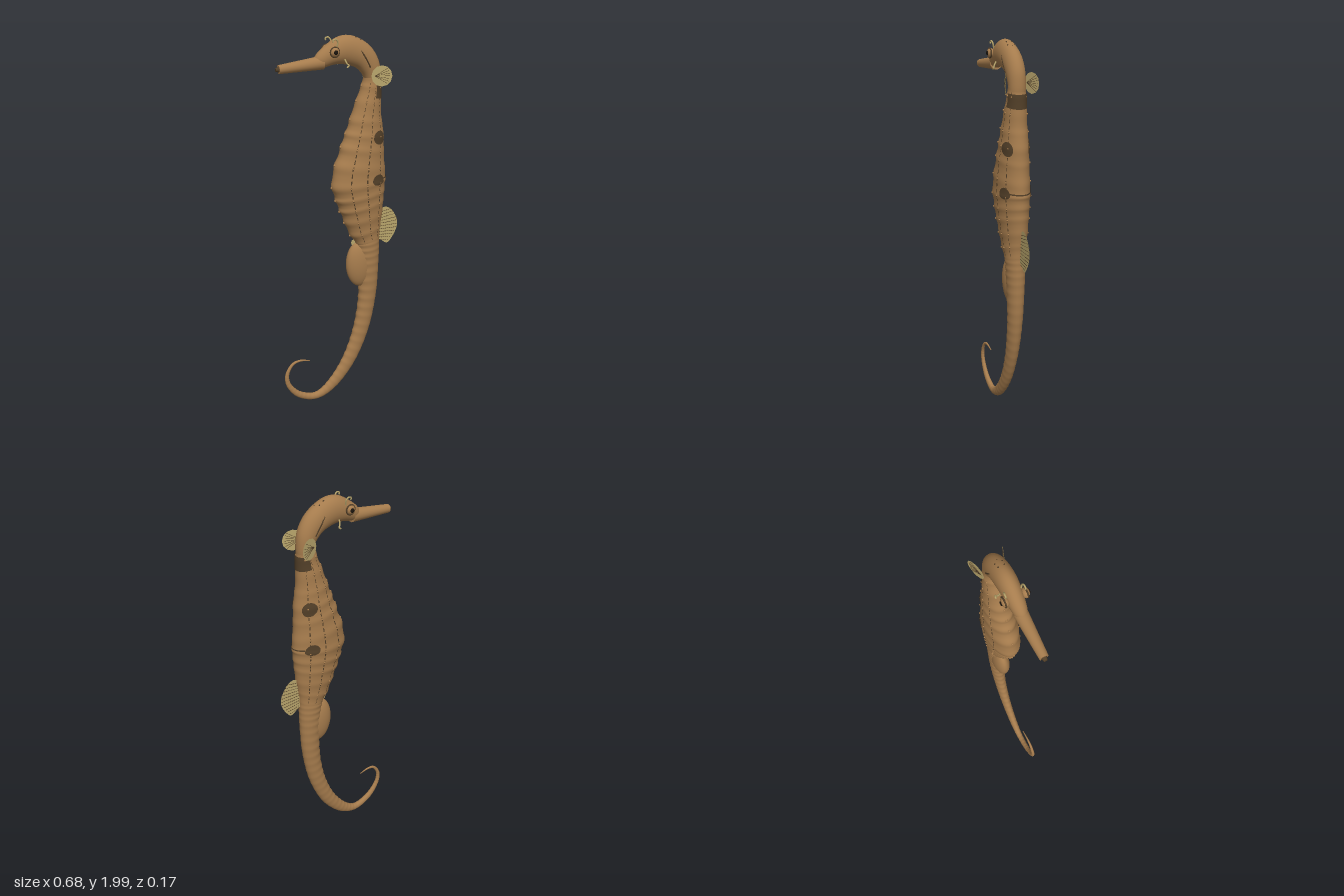
import * as THREE from 'three';
import { mergeGeometries } from 'three/addons/utils/BufferGeometryUtils.js';

const mat = (name, color, side = THREE.FrontSide) => {
  const m = new THREE.MeshStandardMaterial({ color, side });
  m.name = name;
  return m;
};

// Grid surface from a rule fn(u, v); v closes on itself when wrap is set
function surface(fn, nu, nv, wrap = false) {
  const pos = [], idx = [], cols = wrap ? nv : nv + 1;
  for (let i = 0; i <= nu; i++)
    for (let j = 0; j < cols; j++) pos.push(...fn(i / nu, j / nv));
  for (let i = 0; i < nu; i++)
    for (let j = 0; j < nv; j++) {
      const k = (j + 1) % cols, a = i * cols, b = a + cols;
      idx.push(a + j, a + k, b + j, a + k, b + k, b + j);
    }
  const g = new THREE.BufferGeometry();
  g.setAttribute('position', new THREE.Float32BufferAttribute(pos, 3));
  g.setIndex(idx);
  g.computeVertexNormals();
  return g;
}

// Oval body section swept through [x, y, depth radius, width radius];
// returns point(t, angle, lift), angle 0 being the back
function sweep(rows, rings = 0, amp = 0) {
  const path = new THREE.CatmullRomCurve3(rows.map(r => new THREE.Vector3(r[0], r[1], 0)), false, 'catmullrom');
  const size = new THREE.CatmullRomCurve3(rows.map(r => new THREE.Vector3(r[2], r[3], 0)), false, 'catmullrom');
  const point = (t, a, lift = 0) => {
    t = Math.min(1, Math.max(0, t));
    const c = path.getPoint(t), T = path.getTangent(t), s = size.getPoint(t);
    const wave = rings ? Math.pow(Math.abs(Math.cos(Math.PI * rings * t)), 3) - 0.4 : 0;
    const k = 1 + amp * wave * (0.65 - 0.35 * Math.cos(a));
    const n = (s.x * k + lift) * Math.cos(a);
    return [c.x - T.y * n, c.y + T.x * n, (s.y * k + lift) * Math.sin(a)];
  };
  const tAtY = y => {
    let lo = 0, hi = 1;
    for (let i = 0; i < 30; i++) {
      const m = (lo + hi) / 2;
      if (path.getPoint(m).y > y) lo = m; else hi = m;
    }
    return lo;
  };
  return { point, tAtY };
}

export function createModel() {
  const model = new THREE.Group();
  const skin = mat('skin brown', 0xa67c4d);
  const dark = mat('dark marking', 0x523f28, THREE.DoubleSide);
  const fin = mat('pale fin', 0xb9a66c, THREE.DoubleSide);
  const black = mat('pupil black', 0x1c150e);
  const add = (name, geo, m) => {
    const mesh = new THREE.Mesh(geo, m);
    mesh.name = name;
    model.add(mesh);
    return mesh;
  };
  const ball = (r, x, y, z) => new THREE.SphereGeometry(r, 10, 8).translate(x, y, z);
  const TAU = Math.PI * 2, deg = Math.PI / 180;

  // Head, neck, trunk and tail
  const head = sweep([
    [-0.125, 1.868, 0.02, 0.02], [-0.11, 1.884, 0.038, 0.031], [-0.06, 1.91, 0.052, 0.04],
    [0, 1.928, 0.068, 0.046], [0.05, 1.923, 0.07, 0.048], [0.11, 1.893, 0.064, 0.048],
    [0.15, 1.845, 0.055, 0.046], [0.168, 1.79, 0.044, 0.043], [0.168, 1.74, 0.042, 0.042]]);
  const trunk = sweep([
    [0.168, 1.79, 0.042, 0.042], [0.16, 1.72, 0.055, 0.048], [0.14, 1.6, 0.08, 0.059],
    [0.13, 1.5, 0.105, 0.068], [0.115, 1.4, 0.125, 0.075], [0.1, 1.27, 0.15, 0.081],
    [0.108, 1.18, 0.138, 0.077], [0.12, 1.1, 0.12, 0.07], [0.135, 1.0, 0.095, 0.059],
    [0.155, 0.92, 0.067, 0.05]], 12, 0.06);
  const tail = sweep([
    [0.152, 0.94, 0.068, 0.05], [0.16, 0.8, 0.06, 0.046], [0.157, 0.6, 0.051, 0.039],
    [0.122, 0.4, 0.046, 0.032], [0.05, 0.22, 0.04, 0.026], [-0.05, 0.088, 0.032, 0.021],
    [-0.15, 0.031, 0.021, 0.017], [-0.25, 0.06, 0.018, 0.014], [-0.312, 0.13, 0.014, 0.011],
    [-0.325, 0.2, 0.011, 0.009], [-0.295, 0.258, 0.008, 0.007], [-0.25, 0.274, 0.006, 0.005],
    [-0.19, 0.262, 0.002, 0.002]], 46, 0.06);
  const skinOf = (s, n, sides) => surface((u, v) => s.point(u, v * TAU), n, sides, true);
  add('head', skinOf(head, 40, 32), skin);
  add('trunk', skinOf(trunk, 144, 36), skin);
  add('tail', skinOf(tail, 276, 20), skin);

  // Snout and mouth
  const snout = add('snout', new THREE.CylinderGeometry(0.021, 0.033, 0.226, 24), skin);
  snout.position.set(-0.2125, 1.867, 0);
  snout.rotation.z = Math.PI / 2 + 0.075;
  const mouth = add('mouth', new THREE.CylinderGeometry(0.008, 0.014, 0.016, 16), dark);
  mouth.position.set(-0.332, 1.858, 0);
  mouth.rotation.z = Math.PI / 2 + 0.075;

  // Brood pouch
  add('pouch', new THREE.SphereGeometry(1, 28, 20).scale(0.078, 0.13, 0.043)
    .rotateZ(0.06).translate(0.108, 0.785, 0), skin);

  // Rows of dashes and small knobs along the trunk ridges
  const dashes = [], knobs = [], spots = [];
  for (const side of [-1, 1]) {
    for (const ridge of [53, 86, 120]) {
      const a = side * ridge * deg;
      for (let i = 1; i < 35; i++) {
        const t = 0.02 + i / 36;
        dashes.push(surface((u, v) => trunk.point(t + u * 0.017, a + (v - 0.5) * 0.045, 0.002), 2, 1));
      }
      for (let i = 1; i < 12; i++) knobs.push(ball(0.005, ...trunk.point(i / 12, a)));
    }
    // Round flank spots
    for (const y of [1.495, 1.265]) {
      const t0 = trunk.tAtY(y), rt = trunk.tAtY(y - 0.033) - t0;
      const ra = y > 1.4 ? 0.4 : 0.3;
      spots.push(surface((u, v) => trunk.point(t0 - rt * u * Math.sin(v * TAU),
        side * 57 * deg + ra * u * Math.cos(v * TAU), 0.003), 6, 20));
    }
  }
  for (let i = 1; i < 12; i++) knobs.push(ball(0.006, ...trunk.point(i / 12, Math.PI)));
  add('ridgeDashes', mergeGeometries(dashes), dark);
  add('ridgeKnobs', mergeGeometries(knobs), skin);
  add('flankSpots', mergeGeometries(spots), dark);

  // Dark bands across the back
  const band = (y0, y1, half) => {
    const a = trunk.tAtY(y0), b = trunk.tAtY(y1);
    return surface((u, v) => trunk.point(a + (b - a) * u, (v * 2 - 1) * half * deg, 0.003), 8, 20);
  };
  add('neckSaddle', band(1.755, 1.69, 80), dark);
  add('backStripe', band(1.281, 1.27, 40), dark);

  // Crown dots
  const crown = [[0.07, 0.014], [0.07, -0.014], [0.095, 0.017], [0.095, -0.017], [0.11, 0]];
  add('crownDots', mergeGeometries(crown.map(([x, z]) =>
    ball(0.004, x, 1.99 - (x - 0.07) * 0.55 - Math.abs(z) * 0.2, z))), dark);

  // Dorsal fin with rays
  const edge = [[0.23, 1.075], [0.26, 1.088], [0.3, 1.065], [0.333, 1.0], [0.325, 0.945],
    [0.29, 0.89], [0.265, 0.882], [0.235, 0.905]];
  const shape = new THREE.Shape();
  shape.moveTo(0.2, 0.92);
  shape.lineTo(0.21, 1.04);
  shape.splineThru(edge.map(p => new THREE.Vector2(...p)));
  add('dorsalFin', new THREE.ShapeGeometry(shape), fin);
  const rays = [];
  for (let i = 0; i < 11; i++) {
    const f = i / 10, y = 0.905 + f * 0.155, end = 0.262 + 0.064 * Math.sin(Math.PI * (0.08 + 0.78 * f));
    for (let x = 0.225; x < end; x += 0.012)
      rays.push(new THREE.BoxGeometry(0.008, 0.003, 0.002).translate(x + 0.004, y + (x - 0.22) * (f - 0.5) * 0.4, 0));
  }
  add('dorsalRays', mergeGeometries(rays), dark);

  // Small anal fin
  const anal = add('analFin', new THREE.CircleGeometry(0.018, 8), fin);
  anal.position.set(0.075, 0.915, 0);

  // Paired parts on each side of the head
  const tube = (pts, r) => new THREE.TubeGeometry(
    new THREE.CatmullRomCurve3(pts.map(p => new THREE.Vector3(...p))), 16, r, 6);
  for (const s of [1, -1]) {
    const side = s > 0 ? 'left' : 'right';
    add(side + 'Eye', new THREE.SphereGeometry(1, 20, 14).scale(0.024, 0.024, 0.019)
      .translate(-0.057, 1.928, s * 0.047), skin);
    add(side + 'EyeRing', new THREE.TorusGeometry(0.023, 0.004, 8, 24)
      .translate(-0.057, 1.928, s * 0.051), dark);
    add(side + 'Pupil', new THREE.SphereGeometry(1, 14, 10).scale(0.011, 0.011, 0.005)
      .translate(-0.057, 1.928, s * 0.064), black);
    add(side + 'BrowCurl', tube([[-0.04, 1.95, s * 0.036], [-0.038, 1.975, s * 0.042],
      [-0.05, 1.987, s * 0.045], [-0.064, 1.982, s * 0.045], [-0.062, 1.973, s * 0.045]], 0.004), fin);
    add(side + 'ChinCurl', tube([[0.0, 1.89, s * 0.04], [0.005, 1.872, s * 0.052],
      [0.014, 1.86, s * 0.058], [0.004, 1.853, s * 0.058]], 0.004), fin);
    add(side + 'GillSlit', tube([[0.085, 1.925, s * 0.044], [0.11, 1.888, s * 0.047],
      [0.137, 1.842, s * 0.043]], 0.004), dark);

    // Pectoral fin, fanned outward
    const pectoral = new THREE.Group();
    pectoral.name = side + 'PectoralFin';
    const blade = new THREE.Mesh(new THREE.CircleGeometry(0.052, 12), fin);
    blade.name = 'finBlade';
    pectoral.add(blade);
    for (let i = -3; i <= 3; i++) {
      const ray = new THREE.Mesh(new THREE.BoxGeometry(0.075, 0.0016, 0.002).translate(0.0375, 0, 0), dark);
      ray.name = 'finRay';
      ray.position.x = -0.035;
      ray.rotation.z = i * 0.18;
      pectoral.add(ray);
    }
    pectoral.position.set(0.188, 1.8, s * 0.068);
    pectoral.rotation.y = -s * 0.33;
    model.add(pectoral);
  }
  return model;
}
